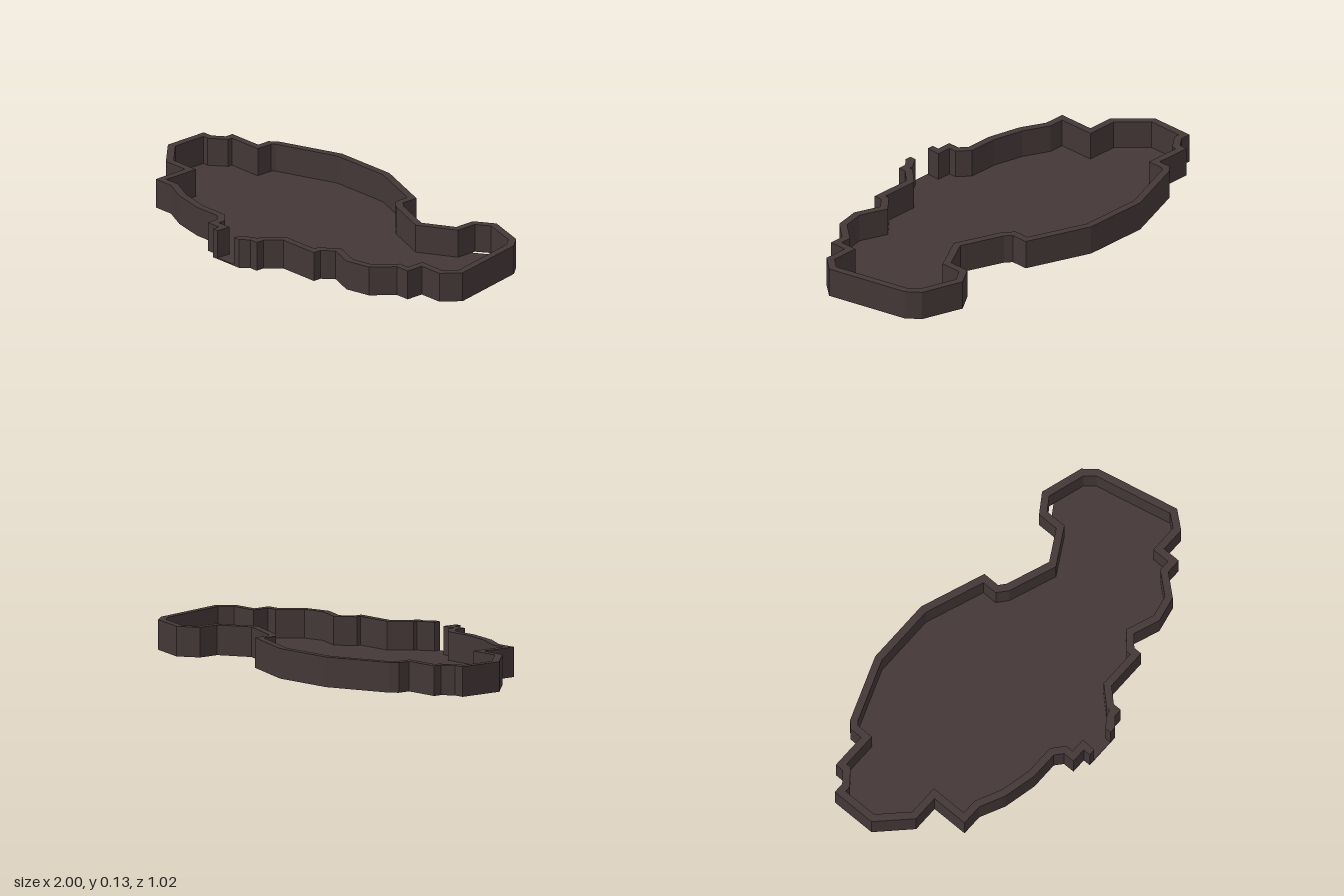
import * as THREE from 'three';

const HEIGHT = 0.135, FLOOR = 0.006, WALL = 0.034;

// Outer outline as [x, z], from the left side of the front gap round the back to its right side
const OUTLINE = [
  [-0.13, 0.51], [-0.13, 0.475], [-0.2, 0.475], [-0.2, 0.42], [-0.235, 0.39], [-0.365, 0.39],
  [-0.52, 0.355], [-0.635, 0.3], [-0.735, 0.3], [-0.735, 0.125], [-0.86, 0.125], [-1, -0.015],
  [-1, -0.23], [-0.95, -0.23], [-0.9, -0.27], [-0.9, -0.31], [-0.73, -0.31], [-0.73, -0.37],
  [-0.7, -0.4], [-0.4, -0.512], [-0.09, -0.512], [0.21, -0.4], [0.21, -0.32], [0.24, -0.295],
  [0.44, -0.22], [0.58, -0.3], [0.58, -0.4], [0.67, -0.46], [0.865, -0.4], [0.915, -0.34],
  [1, 0.045], [0.935, 0.125], [0.82, 0.125], [0.82, 0.21], [0.75, 0.21], [0.67, 0.305],
  [0.55, 0.33], [0.43, 0.285], [0.38, 0.33], [0.38, 0.37], [0.18, 0.37], [0.12, 0.435],
  [0.12, 0.475], [0.08, 0.475], [0.04, 0.51],
];

const toPoints = (list) => list.map(([x, z]) => new THREE.Vector2(x, -z));

// Mitred inward offset of the middle points of an open path
function insetPath(path, d) {
  const normal = (a, b) => {
    const dx = b[0] - a[0], dz = b[1] - a[1], l = Math.hypot(dx, dz);
    return [-dz / l, dx / l];
  };
  return path.slice(1, -1).map((p, i) => {
    const n = normal(path[i], p), m = normal(p, path[i + 2]);
    const k = d / (1 + n[0] * m[0] + n[1] * m[1]);
    return [p[0] + (n[0] + m[0]) * k, p[1] + (n[1] + m[1]) * k];
  });
}

// Flat shape raised from y0 to y1
function slab(name, shape, y0, y1, material) {
  const geometry = new THREE.ExtrudeGeometry(shape, { depth: y1 - y0, bevelEnabled: false });
  geometry.rotateX(-Math.PI / 2);
  geometry.translate(0, y0, 0);
  const mesh = new THREE.Mesh(geometry, material);
  mesh.name = name;
  return mesh;
}

export function createModel() {
  const group = new THREE.Group();
  group.name = 'tray';
  const darkBrown = new THREE.MeshStandardMaterial({ color: 0x443737 });
  darkBrown.name = 'darkBrown';

  // Thin floor with a narrow slit beside the back wall
  const floorShape = new THREE.Shape(toPoints(OUTLINE));
  floorShape.holes.push(new THREE.Path(toPoints([
    [0.615, -0.38], [0.675, -0.422], [0.695, -0.415], [0.615, -0.362],
  ])));
  group.add(slab('floor', floorShape, 0, FLOOR, darkBrown));

  // Rim wall, open at the front gap
  const inner = [[-0.1, 0.51], ...insetPath(OUTLINE, WALL), [0.01, 0.48], [0.01, 0.51]];
  const wallShape = new THREE.Shape(toPoints([...OUTLINE, ...inner.reverse()]));
  group.add(slab('rimWall', wallShape, FLOOR, HEIGHT, darkBrown));

  return group;
}
